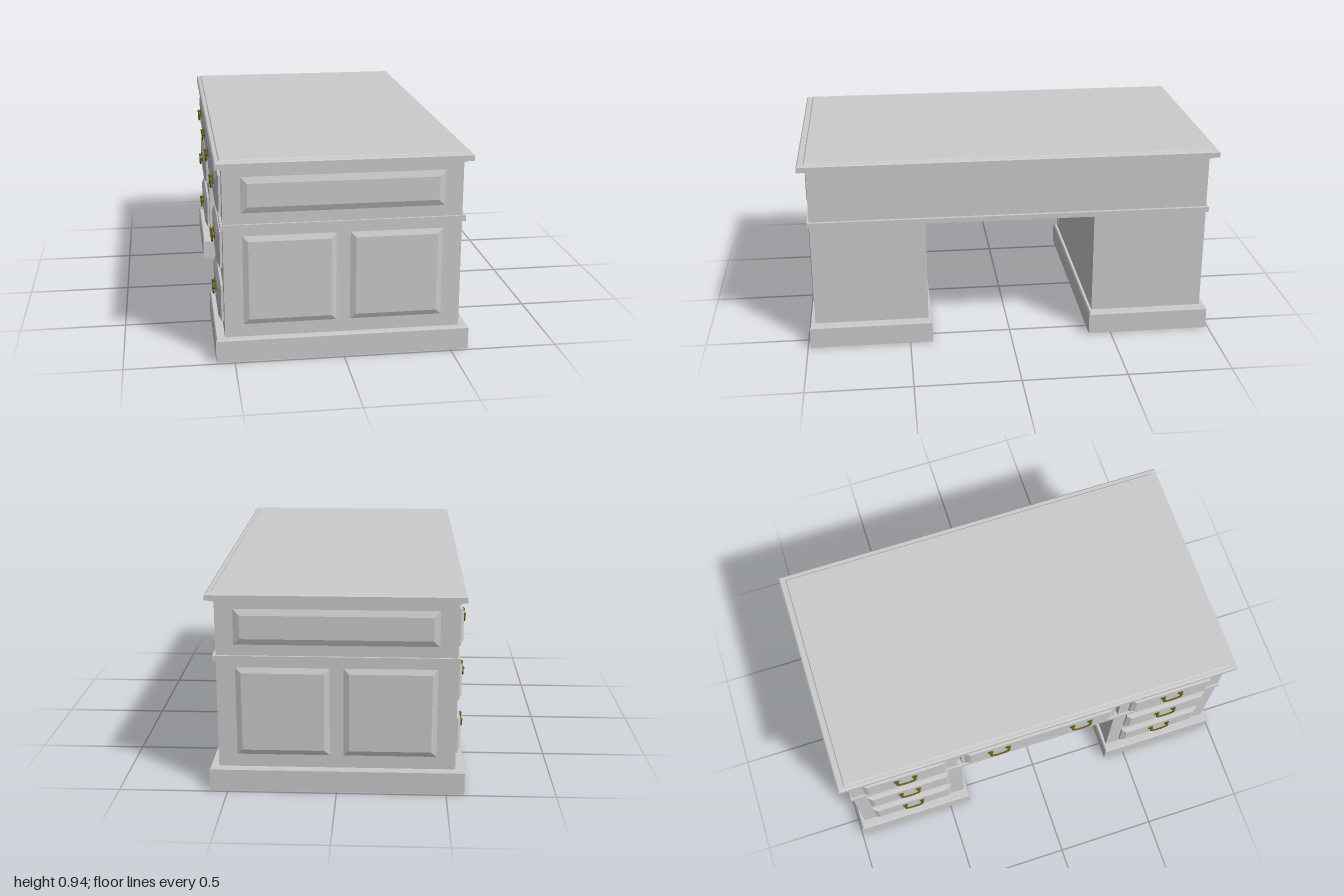
import * as THREE from 'three';

const grey = new THREE.MeshStandardMaterial({ color: 0xcccccc, flatShading: true });
const brass = new THREE.MeshStandardMaterial({ color: 0x6b5f14 });

function add(parent, name, geometry, material = grey) {
  const mesh = new THREE.Mesh(geometry, material);
  mesh.name = name;
  parent.add(mesh);
  return mesh;
}

// Box given by its limits; its top edge can be bevelled inward
function block(parent, name, x0, x1, y0, y1, z0, z1) {
  const g = new THREE.BoxGeometry(x1 - x0, y1 - y0, z1 - z0);
  g.translate((x0 + x1) / 2, (y0 + y1) / 2, (z0 + z1) / 2);
  return add(parent, name, g);
}

// Box standing on y = 0 whose upper face is smaller by inset on every side
function bevelled(w, h, d, inset) {
  const g = new THREE.BoxGeometry(w, h, d).translate(0, h / 2, 0);
  const p = g.attributes.position;
  for (let i = 0; i < p.count; i++) {
    if (p.getY(i) < h / 2) continue;
    p.setX(i, p.getX(i) - Math.sign(p.getX(i)) * inset);
    p.setZ(i, p.getZ(i) - Math.sign(p.getZ(i)) * inset);
  }
  g.computeVertexNormals();
  return g;
}

// Drop handle, facing -x, with two knobs and a curved bail
function makeHandle() {
  const handle = new THREE.Group();
  handle.name = 'handle';
  for (const s of [-1, 1]) {
    const rose = add(handle, 'rosette', new THREE.CylinderGeometry(0.013, 0.015, 0.004, 16).rotateZ(Math.PI / 2), brass);
    rose.position.set(-0.002, 0.015, s * 0.045);
    const post = add(handle, 'post', new THREE.CylinderGeometry(0.005, 0.005, 0.014, 10).rotateZ(Math.PI / 2), brass);
    post.position.set(-0.007, 0.015, s * 0.045);
    const knob = add(handle, 'knob', new THREE.SphereGeometry(0.008, 12, 8), brass);
    knob.position.set(-0.011, 0.015, s * 0.045);
  }
  const path = [[0.015, -0.045], [-0.004, -0.046], [-0.017, -0.032], [-0.022, -0.015],
    [-0.022, 0.015], [-0.017, 0.032], [-0.004, 0.046], [0.015, 0.045]];
  const curve = new THREE.CatmullRomCurve3(path.map(([y, z]) => new THREE.Vector3(-0.012, y, z)));
  add(handle, 'bail', new THREE.TubeGeometry(curve, 32, 0.0042, 8), brass);
  return handle;
}

// Raised drawer front on the -x face
function makeDrawer(y, z, height, width, handleOffsets) {
  const drawer = new THREE.Group();
  drawer.name = 'drawer';
  const base = add(drawer, 'drawerEdge', new THREE.BoxGeometry(0.012, height, width));
  base.position.x = -0.005;
  const face = add(drawer, 'drawerFace', bevelled(height, 0.013, width, 0.022).rotateZ(Math.PI / 2));
  face.position.x = -0.011;
  for (const offset of handleOffsets) {
    const handle = makeHandle();
    handle.position.set(-0.024, 0, offset);
    drawer.add(handle);
  }
  drawer.position.set(-0.54, y, z);
  return drawer;
}

export function createModel() {
  const desk = new THREE.Group();
  desk.name = 'pedestalDesk';

  // Table top with a shallow raised writing surface
  block(desk, 'tableTop', -0.572, 0.576, 0.907, 0.932, -1, 1);
  const edge = add(desk, 'tableTopEdge', bevelled(1.148, 0.005, 2, 0.006));
  edge.position.set(0.002, 0.932, 0);
  const surface = add(desk, 'writingSurface', bevelled(1.106, 0.006, 1.94, 0.006));
  surface.position.set(0, 0.936, 0);
  block(desk, 'topMoulding', -0.55, 0.55, 0.895, 0.907, -0.97, 0.97);

  // Upper case and the moulding under it
  block(desk, 'upperCase', -0.515, 0.54, 0.645, 0.897, -0.96, 0.96);
  block(desk, 'waistMoulding', -0.55, 0.555, 0.62, 0.645, -0.97, 0.97);
  block(desk, 'centreDrawerFrame', -0.54, -0.51, 0.645, 0.897, -0.4, 0.4);
  desk.add(makeDrawer(0.767, 0, 0.172, 0.76, [-0.21, 0.21]));

  for (const s of [-1, 1]) {
    // Pedestal, its drawers and plinth
    const pedestal = new THREE.Group();
    pedestal.name = s > 0 ? 'leftPedestal' : 'rightPedestal';
    desk.add(pedestal);
    const span = (a, b) => (s > 0 ? [a, b] : [-b, -a]);
    block(pedestal, 'pedestalCase', -0.515, 0.54, 0.1, 0.622, ...span(0.408, 0.96));
    block(pedestal, 'lowerDrawerFrame', -0.54, -0.513, 0.1, 0.622, ...span(0.406, 0.962));
    block(pedestal, 'upperDrawerFrame', -0.54, -0.513, 0.645, 0.897, ...span(0.42, 0.962));
    block(pedestal, 'plinth', -0.583, 0.583, 0, 0.102, ...span(0.39, 0.987));
    const cap = add(pedestal, 'plinthCap', bevelled(1.166, 0.009, 0.597, 0.006));
    cap.position.set(0, 0.102, s * 0.6885);
    for (const y of [0.25, 0.507, 0.767]) {
      pedestal.add(makeDrawer(y, s * 0.685, 0.172, 0.42, [0]));
    }

    // Raised panels on the end: [centre x, centre y, width, height, bevel]
    for (const [x, y, w, h, bevel] of [
      [-0.2425, 0.38, 0.425, 0.42, 0.026],
      [0.2425, 0.38, 0.425, 0.42, 0.026],
      [0, 0.778, 0.92, 0.168, 0.03],
    ]) {
      const panel = add(pedestal, 'endPanel', bevelled(w, 0.011, h, bevel).rotateX(s * Math.PI / 2));
      panel.position.set(x, y, s * 0.9595);
    }
  }
  return desk;
}
